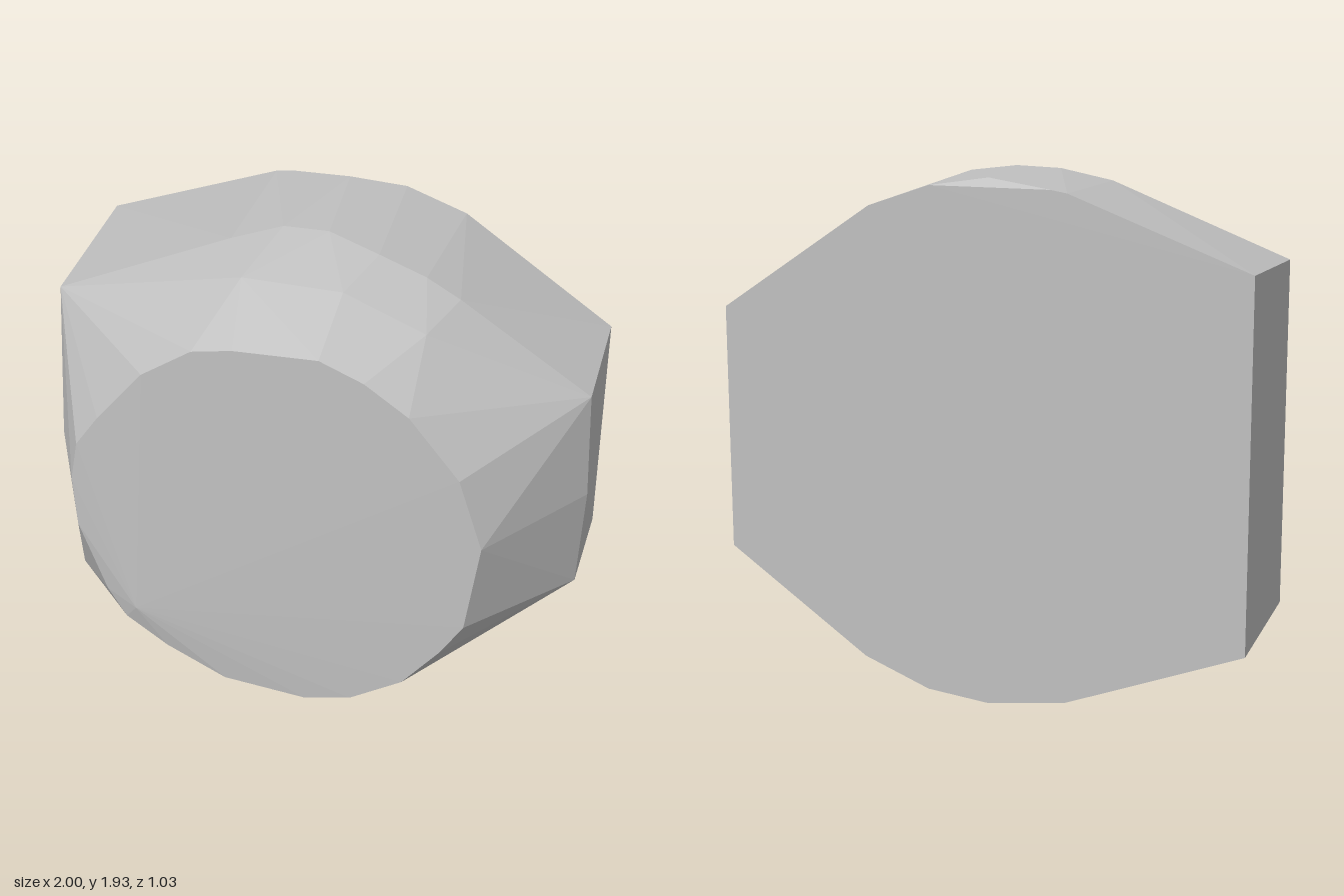
import * as THREE from 'three';
import { ConvexGeometry } from 'three/addons/geometries/ConvexGeometry.js';

// Cross-sections of the faceted body, from front to back: [z, [x, y], ...]
const sections = [
  // low bulge of the front face
  [0.515, [-0.6, 0.51]],
  // rim of the front face
  [0.49, [0.12, 1.745], [-0.19, 1.73], [-0.34, 1.7], [-0.53, 1.57], [-0.71, 1.35], [-0.8, 1.22],
    [-0.83, 1.06], [-0.82, 0.85], [-0.72, 0.56], [-0.65, 0.44], [-0.49, 0.33], [-0.26, 0.22],
    [0.06, 0.195], [0.24, 0.24], [0.44, 0.37], [0.58, 0.55], [0.665, 0.69], [0.715, 1.06],
    [0.625, 1.34], [0.44, 1.57], [0.28, 1.68]],
  // shoulder
  [0.22, [-0.24, 1.86], [0.13, 1.86], [0.43, 1.74], [-0.97, 1.06],
    [-0.24, 0.075], [0.13, 0.075], [0.43, 0.2]],
  // left and right corners
  [0.07, [-1, 1.61], [-1, 0.31]],
  [-0.06, [1, 0.97], [-0.17, 1.925], [0, 1.93]],
  [-0.08, [0.98, 1.39], [0.98, 0.54]],
  // widest girth
  [0, [-0.35, 1.88], [0.2, 1.9], [0.375, 1.835], [0.5, 1.765],
    [-0.35, 0.045], [-0.17, 0.02], [0.13, 0.02], [0.2, 0.035], [0.44, 0.135]],
  [-0.3, [-0.04, 0]],
  [-0.48, [-0.04, 1.93]],
  // flat back
  [-0.52, [-1, 1.64], [-0.34, 1.89], [-0.28, 1.9], [0.17, 1.9], [0.4, 1.82], [0.975, 1.425],
    [0.975, 0.51], [0.44, 0.13], [0.19, 0.03], [-0.04, 0.003], [-0.34, 0.04], [-1, 0.29]],
];

export function createModel() {
  const group = new THREE.Group();
  group.name = 'facetedBlock';

  const grey = new THREE.MeshStandardMaterial({ color: 0xc0c0c0 });
  grey.name = 'plain grey';

  // Convex faceted body wrapped around the cross-sections
  const points = sections.flatMap(([z, ...ring]) => ring.map(([x, y]) => new THREE.Vector3(x, y, z)));
  const body = new THREE.Mesh(new ConvexGeometry(points), grey);
  body.name = 'body';
  group.add(body);
  return group;
}
